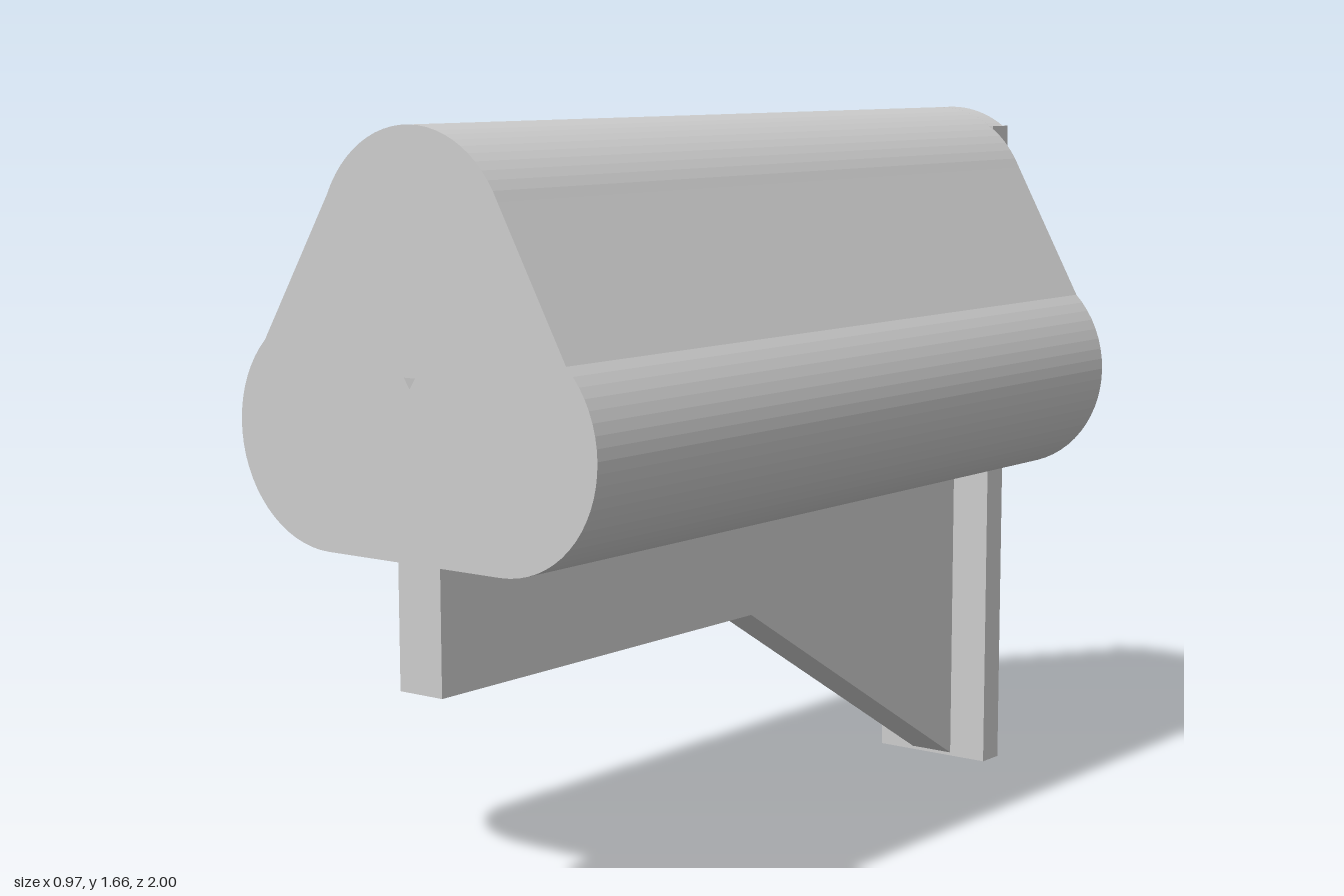
import * as THREE from 'three';

const material = new THREE.MeshStandardMaterial({ color: 0xcccccc });

function addPart(group, name, geometry) {
  const mesh = new THREE.Mesh(geometry, material);
  mesh.name = name;
  group.add(mesh);
  return mesh;
}

// Extrudes a shape along z from z0 to z1
function extrudeZ(shape, z0, z1) {
  const geometry = new THREE.ExtrudeGeometry(shape, { depth: z1 - z0, bevelEnabled: false, curveSegments: 12 });
  return geometry.translate(0, 0, z0);
}

export function createModel() {
  const group = new THREE.Group();
  group.name = 'bracketedBeam';

  // Three-lobed beam: two lower lobes and one upper lobe joined by flat flanks
  const beam = new THREE.Shape();
  const low = 0.8, top = 0.45;
  beam.moveTo(-0.235, 0.785);
  beam.lineTo(0.235, 0.785);
  beam.absarc(0.235, 1.035, 0.25, -Math.PI / 2, low, false);
  beam.absarc(0.01, 1.41, 0.255, top, Math.PI - top, false);
  beam.absarc(-0.235, 1.035, 0.25, Math.PI - low, Math.PI * 1.5, false);

  // Tiny gap left between the lobes
  const gap = new THREE.Path();
  gap.moveTo(-0.015, 1.163);
  gap.lineTo(0.015, 1.163);
  gap.lineTo(0, 1.14);
  gap.closePath();
  beam.holes.push(gap);
  addPart(group, 'lobedBeam', extrudeZ(beam, -0.935, 1));

  // Upright plate across the back
  const plate = new THREE.BoxGeometry(0.312, 1.62, 0.07);
  addPart(group, 'backPlate', plate).position.set(0.01, 0.81, -0.965);

  // Rounded crown continuing the upper lobe over the plate
  const crown = new THREE.Shape();
  const a = Math.asin(0.21 / 0.255);
  crown.absarc(0.01, 1.41, 0.255, a, Math.PI - a, false);
  crown.closePath();
  addPart(group, 'plateCrown', extrudeZ(crown, -0.994, -0.935));

  // Support rib under the beam, sloping down to the plate foot (drawn in z, y)
  const rib = new THREE.Shape();
  [[0.99, 0.515], [0.99, 0.8], [-0.935, 0.8], [-0.935, 0.005], [-0.06, 0.515]]
    .forEach(([z, y], i) => (i ? rib.lineTo(-z, y) : rib.moveTo(-z, y)));
  rib.closePath();
  const ribMesh = addPart(group, 'supportRib', extrudeZ(rib, -0.0575, 0.0575));
  ribMesh.rotation.y = Math.PI / 2;
  ribMesh.position.x = 0.0085;

  return group;
}
